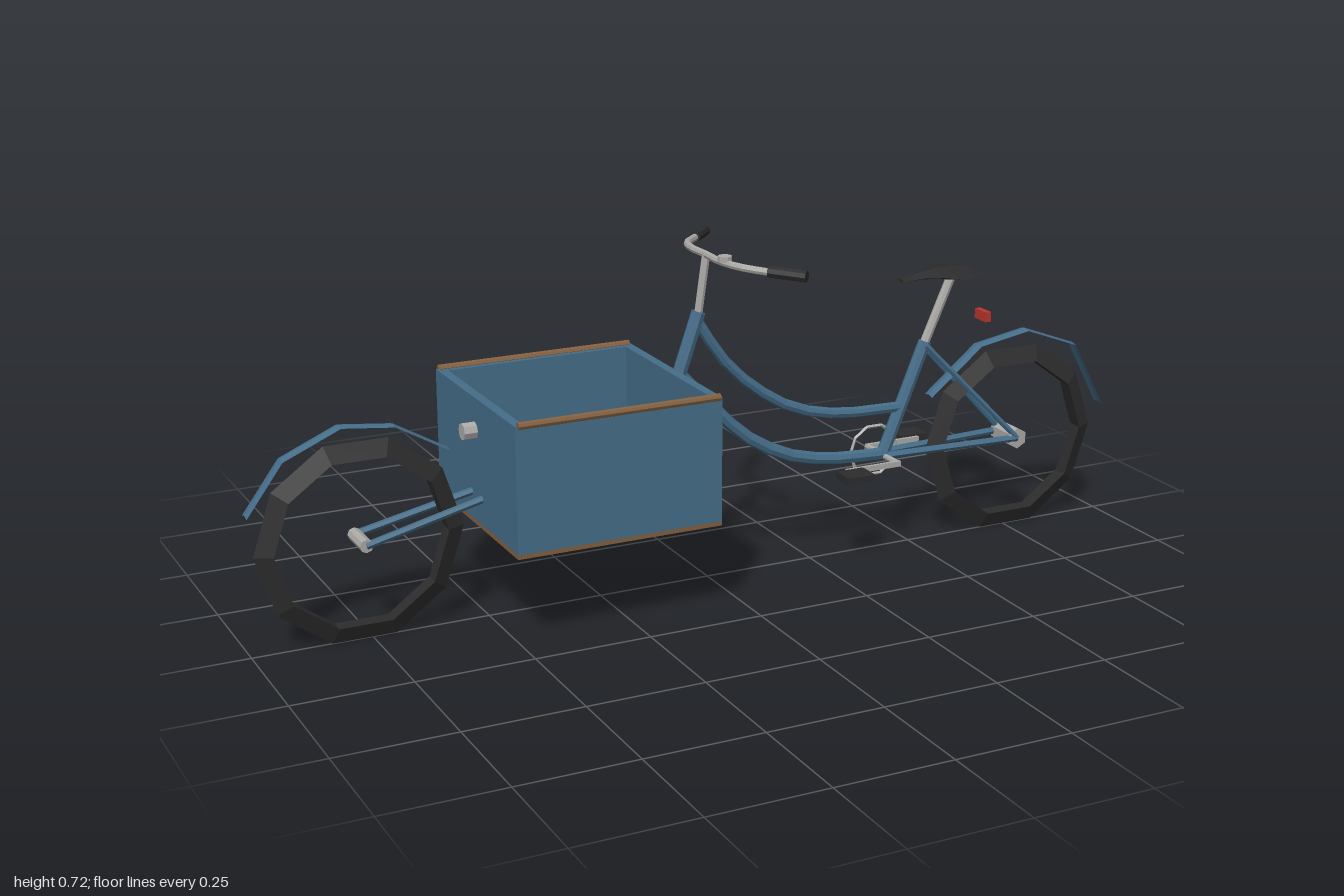
import * as THREE from 'three';

const mat = (name, color) => Object.assign(new THREE.MeshStandardMaterial({ color }), { name });

export function createModel() {
  const root = new THREE.Group();
  root.name = 'cargoBicycle';
  const blue = mat('framePaint', 0x456d89);
  const wood = mat('wood', 0x83603f);
  const metal = mat('metal', 0xaaa9a6);
  const black = mat('rubber', 0x2c2c2c);
  const red = mat('redLens', 0xb8352c);
  const bluePlate = mat('fenderPaint', 0x456d89);
  bluePlate.side = THREE.DoubleSide;

  const V = (x, y, z = 0) => new THREE.Vector3(x, y, z);

  // Adds a mesh with faceted normals
  function add(name, geo, material, pos) {
    const g = geo.index ? geo.toNonIndexed() : geo;
    g.computeVertexNormals();
    const mesh = new THREE.Mesh(g, material);
    mesh.name = name;
    if (pos) mesh.position.copy(pos);
    root.add(mesh);
    return mesh;
  }
  // Straight round bar between two points
  function rod(name, a, b, r, material, sides = 8) {
    const dir = b.clone().sub(a);
    const mesh = add(name, new THREE.CylinderGeometry(r, r, dir.length(), sides), material,
      a.clone().add(b).multiplyScalar(0.5));
    mesh.quaternion.setFromUnitVectors(V(0, 1, 0), dir.normalize());
    return mesh;
  }
  const box = (name, w, h, d, material, x, y, z) =>
    add(name, new THREE.BoxGeometry(w, h, d), material, V(x, y, z));
  const bend = (name, pts, r, material, n = 10) =>
    add(name, new THREE.TubeGeometry(new THREE.CatmullRomCurve3(pts), n, r, 8), material);

  const axleY = 0.212, frontX = -0.767, rearX = 0.757;

  // Ten-sided tyres with a wedge cross-section
  for (const [name, x] of [['frontTyre', frontX], ['rearTyre', rearX]]) {
    const profile = [[0.181, -0.0175], [0.218, 0], [0.181, 0.0175], [0.181, -0.0175]]
      .map(p => new THREE.Vector2(...p));
    const g = new THREE.LatheGeometry(profile, 10, Math.PI / 2);
    g.rotateX(Math.PI / 2);
    add(name, g, black, V(x, 0.21, 0));
  }

  // Fenders: thin faceted strips with a slight crown
  function fender(name, pts) {
    const pos = [], idx = [];
    pts.forEach(([x, y], i) => {
      pos.push(x, y - 0.004, 0.016, x, y, 0, x, y - 0.004, -0.016);
      if (i) for (const j of [0, 1]) {
        const a = (i - 1) * 3 + j, b = i * 3 + j;
        idx.push(a, b, b + 1, a, b + 1, a + 1);
      }
    });
    const g = new THREE.BufferGeometry();
    g.setAttribute('position', new THREE.Float32BufferAttribute(pos, 3));
    g.setIndex(idx);
    add(name, g, bluePlate);
  }
  fender('frontFender', [[-0.997, 0.3], [-0.92, 0.405], [-0.8, 0.457], [-0.69, 0.444], [-0.577, 0.379]]);
  fender('rearFender', [[0.543, 0.337], [0.668, 0.438], [0.79, 0.459], [0.92, 0.41], [1.0, 0.26]]);

  // Cargo box: walls, floor, mat and side rails
  const cx = -0.297, halfX = 0.222, halfZ = 0.22, t = 0.02;
  for (const s of [-1, 1]) {
    box('boxSideWall', halfX * 2, 0.263, t, blue, cx, 0.3435, s * (halfZ - t / 2));
    box('boxEndWall', t, 0.263, halfZ * 2 - 2 * t, blue, cx + s * (halfX - t / 2), 0.3435, 0);
    rod('boxRail', V(cx - 0.217, 0.476, s * halfZ), V(cx + 0.217, 0.476, s * halfZ), 0.008, wood);
  }
  box('boxFloor', halfX * 2, 0.01, halfZ * 2, wood, cx, 0.208, 0);
  box('boxMat', 0.365, 0.006, 0.375, black, cx, 0.216, 0);
  rod('headlight', V(-0.547, 0.406), V(-0.517, 0.406), 0.018, metal);

  // Frame tubes
  const headLow = V(-0.065, 0.464), headTop = V(-0.02, 0.592), bracket = V(0.43, 0.217);
  const seatTop = V(0.53, 0.46);
  rod('headTube', headLow, headTop, 0.0155, blue);
  bend('lowerTube', [headLow, V(0.01, 0.384), V(0.09, 0.306), V(0.19, 0.25), V(0.29, 0.226), bracket], 0.014, blue);
  bend('upperTube', [V(-0.025, 0.575), V(0.037, 0.482), V(0.1, 0.42), V(0.197, 0.357),
    V(0.304, 0.327), V(0.475, 0.319)], 0.012, blue);
  rod('seatTube', bracket, seatTop, 0.0145, blue);
  for (const s of [-1, 1]) {
    rod('forkArm', V(frontX, axleY, s * 0.037), V(-0.09, 0.364, s * 0.015), 0.008, blue, 6);
    rod('chainStay', V(0.43, 0.216, s * 0.014), V(rearX, 0.216, s * 0.035), 0.008, blue, 6);
    rod('seatStay', V(0.525, 0.455, s * 0.012), V(rearX, 0.216, s * 0.035), 0.007, blue, 6);
  }

  // Hubs
  rod('frontHub', V(frontX, axleY, -0.04), V(frontX, axleY, 0.04), 0.014, metal);
  rod('rearHub', V(rearX, 0.215, -0.038), V(rearX, 0.215, 0.038), 0.024, metal, 6);

  // Cranks, pedals and chainring
  rod('crankAxle', V(0.43, 0.213, -0.068), V(0.43, 0.213, 0.068), 0.007, metal);
  for (const s of [-1, 1]) {
    const px = 0.43 - s * 0.125;
    box('crankArm', 0.135, 0.012, 0.008, metal, 0.43 - s * 0.0625, 0.213, s * 0.066);
    rod('pedalSpindle', V(px, 0.213, s * 0.064), V(px, 0.213, s * 0.08), 0.005, metal);
    box('pedal', 0.065, 0.015, 0.054, black, px, 0.213, s * 0.1);
  }
  add('chainring', new THREE.TorusGeometry(0.058, 0.004, 4, 10), metal, V(0.43, 0.213, -0.04));

  // Saddle: diamond cross-sections [x, half width, bottom, middle, top]
  const sections = [
    [0.465, 0.014, 0.6, 0.604, 0.608], [0.515, 0.02, 0.6, 0.607, 0.617],
    [0.55, 0.042, 0.598, 0.609, 0.622], [0.572, 0.074, 0.598, 0.61, 0.623],
    [0.602, 0.079, 0.599, 0.61, 0.623], [0.635, 0.05, 0.602, 0.611, 0.621],
    [0.645, 0.028, 0.605, 0.611, 0.618],
  ];
  const sPos = [], sIdx = [];
  sections.forEach(([x, w, b, m, top], i) => {
    sPos.push(x, top, 0, x, m, w, x, b, 0, x, m, -w);
    if (i) for (let j = 0; j < 4; j++) {
      const k = (j + 1) % 4, p = (i - 1) * 4, q = i * 4;
      sIdx.push(p + j, p + k, q + j, p + k, q + k, q + j);
    }
  });
  const e = (sections.length - 1) * 4;
  sIdx.push(0, 2, 1, 0, 3, 2, e, e + 1, e + 2, e, e + 2, e + 3);
  const saddle = new THREE.BufferGeometry();
  saddle.setAttribute('position', new THREE.Float32BufferAttribute(sPos, 3));
  saddle.setIndex(sIdx);
  add('saddle', saddle, black);
  rod('seatPost', V(0.525, 0.448), V(0.596, 0.608), 0.0105, metal);
  box('tailLight', 0.014, 0.022, 0.044, red, 0.678, 0.502, 0);

  // Steering: stem, swept bar, grips and bell
  rod('stem', headTop, V(-0.002, 0.716), 0.009, metal);
  bend('handlebar', [V(0.07, 0.706, -0.187), V(0.05, 0.706, -0.165), V(0.01, 0.71, -0.115), V(-0.005, 0.712, -0.06),
    V(-0.003, 0.712, 0), V(-0.005, 0.712, 0.06), V(0.01, 0.71, 0.115), V(0.05, 0.706, 0.165),
    V(0.07, 0.706, 0.187)], 0.008, metal, 16);
  for (const s of [-1, 1]) {
    rod('grip', V(0.054, 0.707, s * 0.17), V(0.108, 0.704, s * 0.23), 0.0125, black);
  }
  rod('bell', V(0, 0.714, 0.081), V(0, 0.726, 0.081), 0.015, metal, 10);

  return root;
}
